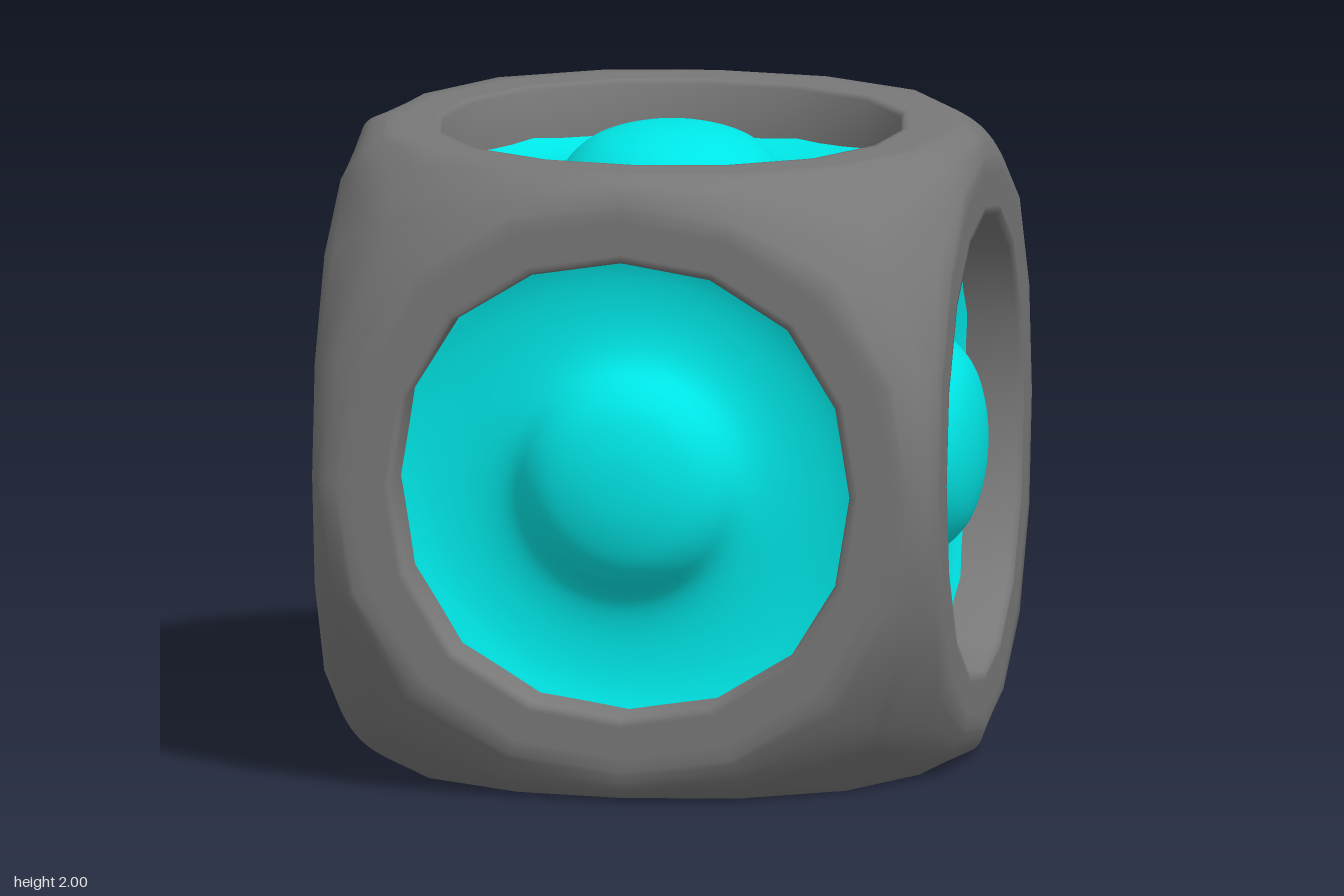
import * as THREE from 'three';
import { mergeGeometries, toCreasedNormals } from 'three/addons/utils/BufferGeometryUtils.js';

const ROUND = 1.376;   // distance of the rounded cube edges from the centre
const FLAT = 0.9;      // outer radius of the flat ring on each side
const HOLE = 0.728;    // radius of the round opening
const FLOOR = 0.77;    // how far in the opening's wall reaches
const SIDES = 16;
const STEPS = 5;

// One sixth of the shell, facing +z: opening wall, flat ring, rounded skirt
function shellSide() {
  const rings = [];
  const ring = (f) => rings.push(Array.from({ length: SIDES }, (_, j) => {
    const a = (j / SIDES) * Math.PI * 2;
    return f(Math.cos(a), Math.sin(a));
  }));
  // Circle that is slightly fuller along its diagonals
  const fullCircle = (c, s, r, z, fullness) => {
    const q = r * (1 + fullness * c * c * s * s);
    return new THREE.Vector3(c * q, s * q, z);
  };
  const opening = (r, z) => ring((c, s) => fullCircle(c, s, r, z, 0.12));
  opening(HOLE, FLOOR);
  opening(HOLE + 0.002, 0.985);
  opening(HOLE + 0.012, 1);
  opening(HOLE + 0.03, 1);
  opening(FLAT - 0.04, 1);
  for (let i = 0; i <= STEPS; i++) {
    const t = i / STEPS;
    ring((c, s) => {
      const m = Math.max(Math.abs(c), Math.abs(s));
      const edge = new THREE.Vector3(c / m, s / m, 1).setLength(ROUND);
      const start = fullCircle(c, s, FLAT, 1, 0.18);
      const length = THREE.MathUtils.lerp(start.length(), ROUND, Math.sin(t * Math.PI / 2));
      return start.lerp(edge, t).setLength(length);
    });
  }
  const index = [];
  for (let i = 0; i < rings.length - 1; i++) {
    for (let j = 0; j < SIDES; j++) {
      const k = (j + 1) % SIDES;
      const a = i * SIDES + j, b = i * SIDES + k;
      index.push(a, a + SIDES, b, b, a + SIDES, b + SIDES);
    }
  }
  const geo = new THREE.BufferGeometry().setFromPoints(rings.flat());
  geo.setIndex(index);
  return geo;
}

// Recessed dish with a raised rim and a rounded button in its middle, facing +z
function dishGeometry() {
  const profile = new THREE.SplineCurve([
    [0.765, 0.838], [0.735, 0.828], [0.7, 0.814], [0.65, 0.8], [0.58, 0.791], [0.5, 0.791],
    [0.43, 0.803], [0.38, 0.825], [0.345, 0.857], [0.31, 0.9], [0.26, 0.942],
    [0.2, 0.97], [0.12, 0.991], [0.05, 0.999], [0, 1],
  ].map(([r, h]) => new THREE.Vector2(r, h))).getPoints(42);
  profile.forEach((p) => { p.x = Math.max(p.x, 0); });
  return new THREE.LatheGeometry(profile, SIDES * 3).rotateX(Math.PI / 2);
}

export function createModel() {
  const group = new THREE.Group();
  group.name = 'roundedCube';
  const darkGrey = new THREE.MeshStandardMaterial({ color: 0x787878 });
  const cyan = new THREE.MeshStandardMaterial({ color: 0x00e6e6 });

  const H = Math.PI / 2;
  const directions = {
    front: [0, 0], left: [0, H], back: [0, Math.PI], right: [0, -H], top: [-H, 0], bottom: [H, 0],
  };
  const dish = dishGeometry();
  const sides = [];
  for (const [name, [rx, ry]] of Object.entries(directions)) {
    sides.push(shellSide().rotateX(rx).rotateY(ry));
    const mesh = new THREE.Mesh(dish, cyan);
    mesh.name = `${name}Dish`;
    mesh.rotation.set(rx, ry, 0);
    mesh.position.y = 1;
    group.add(mesh);
  }

  // Shell is smooth all over, with softly bevelled rims at the openings
  const shell = new THREE.Mesh(toCreasedNormals(mergeGeometries(sides), 1.1), darkGrey);
  shell.name = 'shell';
  shell.position.y = 1;
  group.add(shell);
  return group;
}
